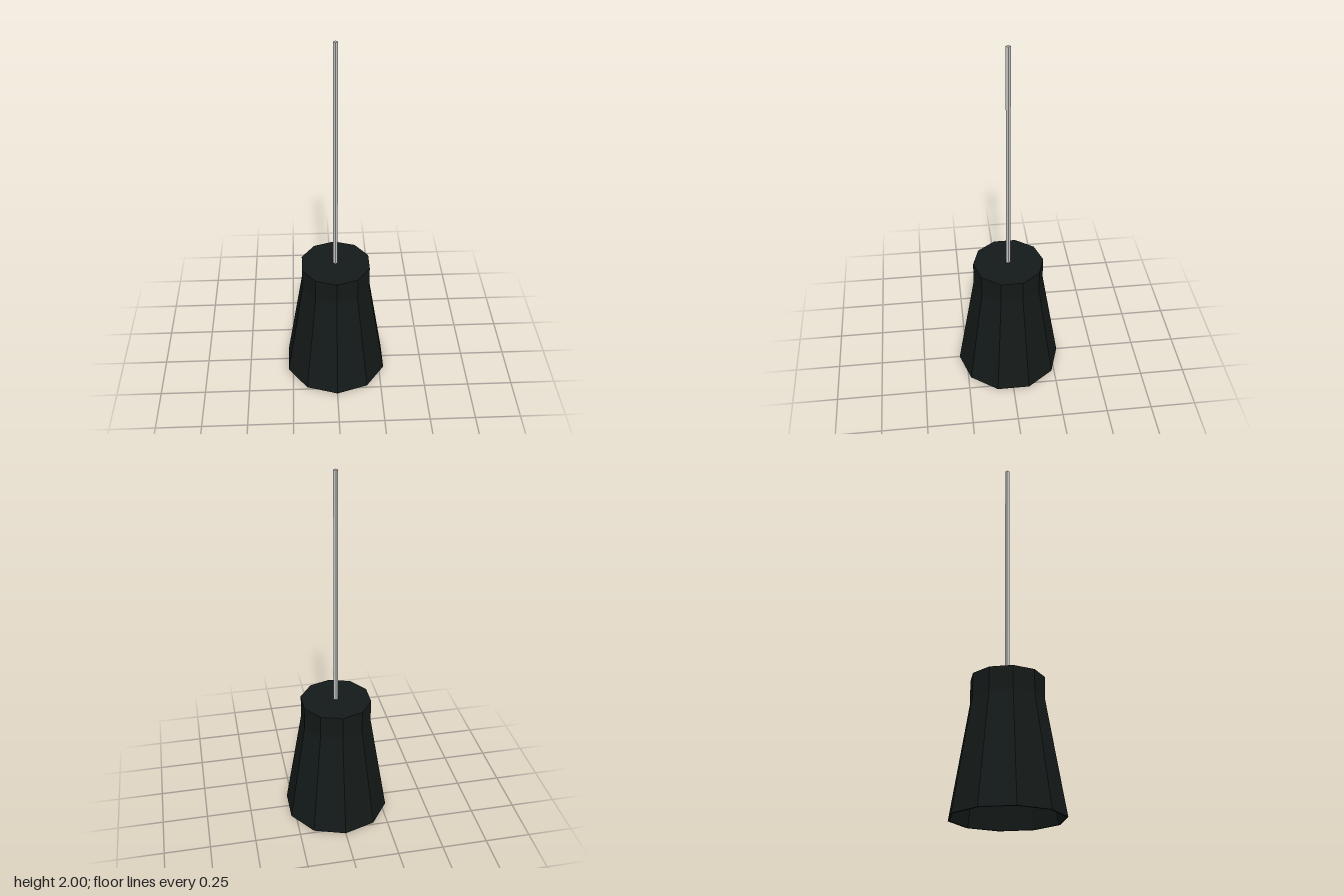
import * as THREE from 'three';

export function createModel() {
  const group = new THREE.Group();
  const sides = 10, wall = 0.01;

  // Hollow ten-sided shade: inner wall downward, rim, outer wall upward, cap
  const profile = [
    [0, 0.705], [0.193 - wall, 0.705], [0.193 - wall, 0.59], [0.291 - wall, 0],
    [0.291, 0], [0.193, 0.59], [0.193, 0.715], [0, 0.715],
  ].map(([r, y]) => new THREE.Vector2(r, y));
  const shade = new THREE.Mesh(
    new THREE.LatheGeometry(profile, sides),
    new THREE.MeshStandardMaterial({ color: 0x141a19, flatShading: true })
  );
  shade.name = 'lampShade';
  group.add(shade);

  // Thin four-sided hanging cord
  const bottom = 0.71, top = 2;
  const cord = new THREE.Mesh(
    new THREE.CylinderGeometry(0.012, 0.012, top - bottom, 4),
    new THREE.MeshStandardMaterial({ color: 0xcccccc, flatShading: true })
  );
  cord.position.y = (top + bottom) / 2;
  cord.name = 'cord';
  group.add(cord);

  return group;
}
